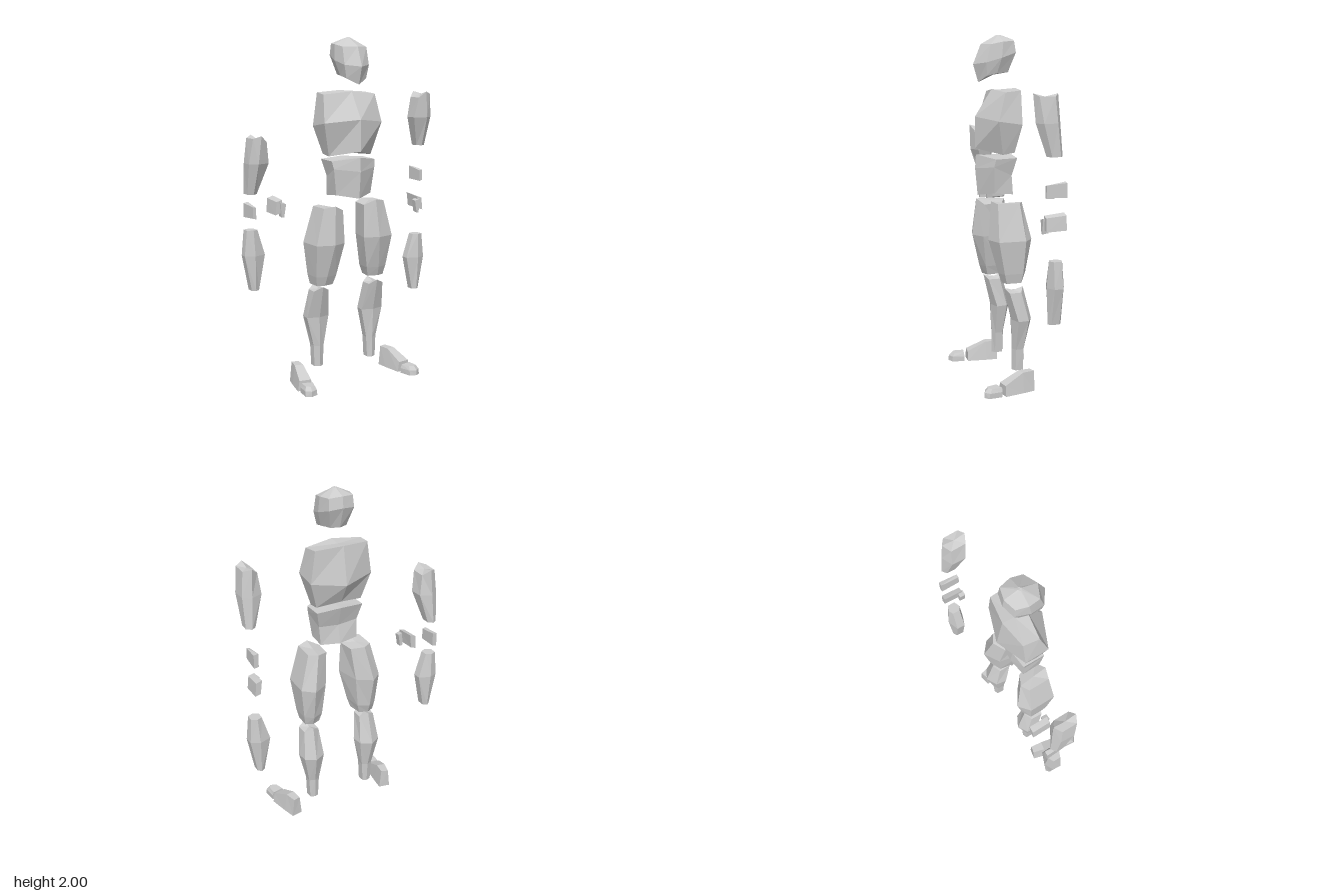
import * as THREE from 'three';

// Faceted skin through cross-section rings, closed at both ends and always facing outward
function loft(rings) {
  const tris = [];
  const n = rings[0].length;
  const mid = r => [0, 1, 2].map(k => r.reduce((s, p) => s + p[k], 0) / n);
  const last = rings.length - 1, c0 = mid(rings[0]), c1 = mid(rings[last]);
  for (let j = 0; j < n; j++) {
    const k = (j + 1) % n;
    tris.push([c0, rings[0][k], rings[0][j]], [c1, rings[last][j], rings[last][k]]);
    for (let i = 0; i < last; i++) {
      const a = rings[i][j], b = rings[i][k], c = rings[i + 1][k], d = rings[i + 1][j];
      tris.push([a, b, c], [a, c, d]);
    }
  }
  // signed volume about an inner point tells the winding
  const o = new THREE.Vector3(...mid([c0, c1]).map(v => v * n / 2));
  const v = p => new THREE.Vector3(...p).sub(o);
  const vol = tris.reduce((s, [a, b, c]) => s + v(a).dot(v(b).cross(v(c))), 0);
  if (vol < 0) tris.forEach(t => t.reverse());
  const g = new THREE.BufferGeometry();
  g.setAttribute('position', new THREE.Float32BufferAttribute(tris.flat(2), 3));
  g.computeVertexNormals();
  return g;
}

// Complete a half ring (front centre, left side points, back centre) by mirroring
const sym = half => [...half, ...half.slice(1, -1).reverse().map(([x, y, z]) => [-x, y, z])];
// Ring of [x, z] points at one height
const level = (y, pts) => pts.map(([x, z]) => [x, y, z]);
// Four-sided ring across z
const slice = (z, x0, x1, y0, y1, lean = 0) =>
  [[x0, y0 - lean, z], [x1, y0, z], [x1, y1, z], [x0, y1 - lean, z]];

export function createModel() {
  const group = new THREE.Group();
  const grey = new THREE.MeshStandardMaterial({ color: 0xcccccc });
  grey.name = 'grey';
  const add = (name, rings) => {
    const m = new THREE.Mesh(loft(rings), grey);
    m.name = name;
    group.add(m);
  };
  // Left part plus its mirrored right twin, the twin shifted by dx, dy
  const pair = (name, rings, dy = 0, dx = 0) => {
    add(name + 'Left', rings);
    add(name + 'Right', rings.map(r => r.map(([x, y, z]) => [-x + dx, y + dy, z])));
  };

  // Head
  add('head', [
    sym([[0, 1.735, 0.11], [0.065, 1.77, 0.08], [0.07, 1.785, 0.02], [0.05, 1.79, -0.05], [0, 1.79, -0.07]]),
    sym([[0, 1.835, 0.14], [0.08, 1.845, 0.085], [0.095, 1.87, 0], [0.075, 1.90, -0.09], [0, 1.91, -0.11]]),
    sym([[0, 1.947, 0.095], [0.078, 1.945, 0.06], [0.09, 1.96, -0.01], [0.072, 1.965, -0.08], [0, 1.973, -0.1]]),
    sym([[0, 2, 0], [0.01, 1.998, -0.005], [0.012, 1.998, -0.01], [0.01, 1.998, -0.015], [0, 2, -0.02]]),
  ]);

  // Chest
  add('chest', [
    sym([[0, 1.36, 0.13], [0.14, 1.33, 0.01], [0.14, 1.34, -0.06], [0, 1.36, -0.09]]),
    sym([[0, 1.54, 0.13], [0.19, 1.52, 0.05], [0.187, 1.5, -0.09], [0, 1.48, -0.155]]),
    sym([[0, 1.695, 0.03], [0.17, 1.68, 0.005], [0.16, 1.69, -0.09], [0, 1.7, -0.115]]),
  ]);

  // Abdomen
  add('abdomen', [
    sym([[0, 1.09, 0.115], [0.115, 1.11, 0.05], [0.115, 1.1, -0.06], [0, 1.09, -0.075]]),
    sym([[0, 1.245, 0.13], [0.135, 1.26, 0.06], [0.12, 1.21, -0.05], [0, 1.2, -0.055]]),
    sym([[0, 1.325, 0.125], [0.143, 1.305, 0.05], [0.143, 1.31, -0.075], [0, 1.32, -0.09]]),
  ]);

  // Thighs
  pair('thigh', [
    level(0.605, [[0.18, 0.03], [0.225, 0.015], [0.225, -0.07], [0.185, -0.09], [0.135, -0.07], [0.12, 0.015]]),
    level(0.66, [[0.175, 0.05], [0.235, 0.03], [0.235, -0.08], [0.185, -0.11], [0.12, -0.08], [0.105, 0.03]]),
    level(0.85, [[0.15, 0.1], [0.253, 0.07], [0.255, -0.09], [0.19, -0.145], [0.1, -0.09], [0.065, 0.06]]),
    [[0.135, 1.07, 0.08], [0.2, 1.06, 0.06], [0.2, 1.06, -0.07], [0.15, 1.06, -0.1], [0.08, 1.045, -0.06], [0.07, 1.04, 0.05]],
  ], -0.02);

  // Shins
  pair('shin', [
    level(0.085, [[0.18, -0.03], [0.21, -0.045], [0.208, -0.09], [0.18, -0.1], [0.157, -0.09], [0.155, -0.045]]),
    level(0.21, [[0.182, -0.03], [0.215, -0.045], [0.215, -0.09], [0.182, -0.105], [0.15, -0.09], [0.148, -0.045]]),
    level(0.385, [[0.185, -0.025], [0.258, -0.045], [0.25, -0.11], [0.19, -0.145], [0.125, -0.11], [0.115, -0.045]]),
    [[0.185, 0.575, 0.02], [0.235, 0.55, 0], [0.232, 0.55, -0.07], [0.185, 0.575, -0.095], [0.14, 0.55, -0.07], [0.14, 0.55, 0]],
  ]);

  // Feet and toes
  const sole = (z, x0, x1, top, inset, turn = 0) =>
    [[x0, 0, z], [x1, 0, z - turn], [x1 - inset, top, z - turn], [x0 + inset, top, z]];
  pair('foot', [
    sole(-0.1, 0.275, 0.34, 0.115, 0.012, 0.012),
    sole(-0.03, 0.28, 0.36, 0.115, 0.015, 0.01),
    sole(0.085, 0.295, 0.385, 0.06, 0.01, 0.01),
  ]);
  pair('toes', [
    level(0, [[0.3, 0.108], [0.38, 0.095], [0.388, 0.175], [0.358, 0.195], [0.318, 0.182]]),
    level(0.03, [[0.3, 0.108], [0.38, 0.095], [0.388, 0.17], [0.358, 0.193], [0.318, 0.178]]),
    level(0.052, [[0.308, 0.108], [0.372, 0.095], [0.376, 0.155], [0.354, 0.172], [0.325, 0.162]]),
  ], 0, 0);

  // Upper arms
  pair('upperArm', [
    level(1.355, [[0.57, -0.08], [0.6, -0.1], [0.6, -0.15], [0.572, -0.17], [0.545, -0.15], [0.543, -0.1]]),
    level(1.53, [[0.565, -0.02], [0.61, -0.05], [0.605, -0.13], [0.56, -0.16], [0.495, -0.13], [0.49, -0.05]]),
    [[0.55, 1.685, -0.01], [0.592, 1.67, -0.03], [0.592, 1.67, -0.12], [0.55, 1.685, -0.15], [0.51, 1.65, -0.12], [0.51, 1.65, -0.03]],
  ], -0.225);

  // Forearms
  pair('forearm', [
    level(0.447, [[0.555, -0.1], [0.575, -0.115], [0.575, -0.16], [0.555, -0.175], [0.532, -0.16], [0.53, -0.115]]),
    level(0.65, [[0.56, -0.09], [0.615, -0.115], [0.612, -0.165], [0.56, -0.19], [0.492, -0.165], [0.49, -0.115]]),
    level(0.797, [[0.565, -0.1], [0.6, -0.115], [0.6, -0.16], [0.568, -0.175], [0.537, -0.16], [0.535, -0.115]]),
  ], 0.127);

  // Elbow joints
  pair('elbow', [
    slice(-0.08, 0.557, 0.576, 1.14, 1.205, 0.005),
    slice(-0.195, 0.555, 0.582, 1.135, 1.215, -0.005),
  ], -0.145);

  // Hands: palm and thumb
  pair('palm', [
    [[0.545, 0.965, -0.08], [0.58, 0.955, -0.08], [0.572, 1.03, -0.08], [0.538, 1.04, -0.08]],
    [[0.55, 0.97, -0.195], [0.582, 0.96, -0.195], [0.575, 1.04, -0.195], [0.54, 1.052, -0.195]],
  ], 0.048, 0.143);
  pair('thumb', [
    [[0.53, 0.94, -0.07], [0.545, 0.94, -0.07], [0.552, 1.025, -0.07], [0.517, 1.015, -0.07]],
    [[0.53, 0.945, -0.105], [0.545, 0.945, -0.105], [0.555, 1.03, -0.105], [0.517, 1.02, -0.105]],
  ], 0.048, 0.143);

  return group;
}
